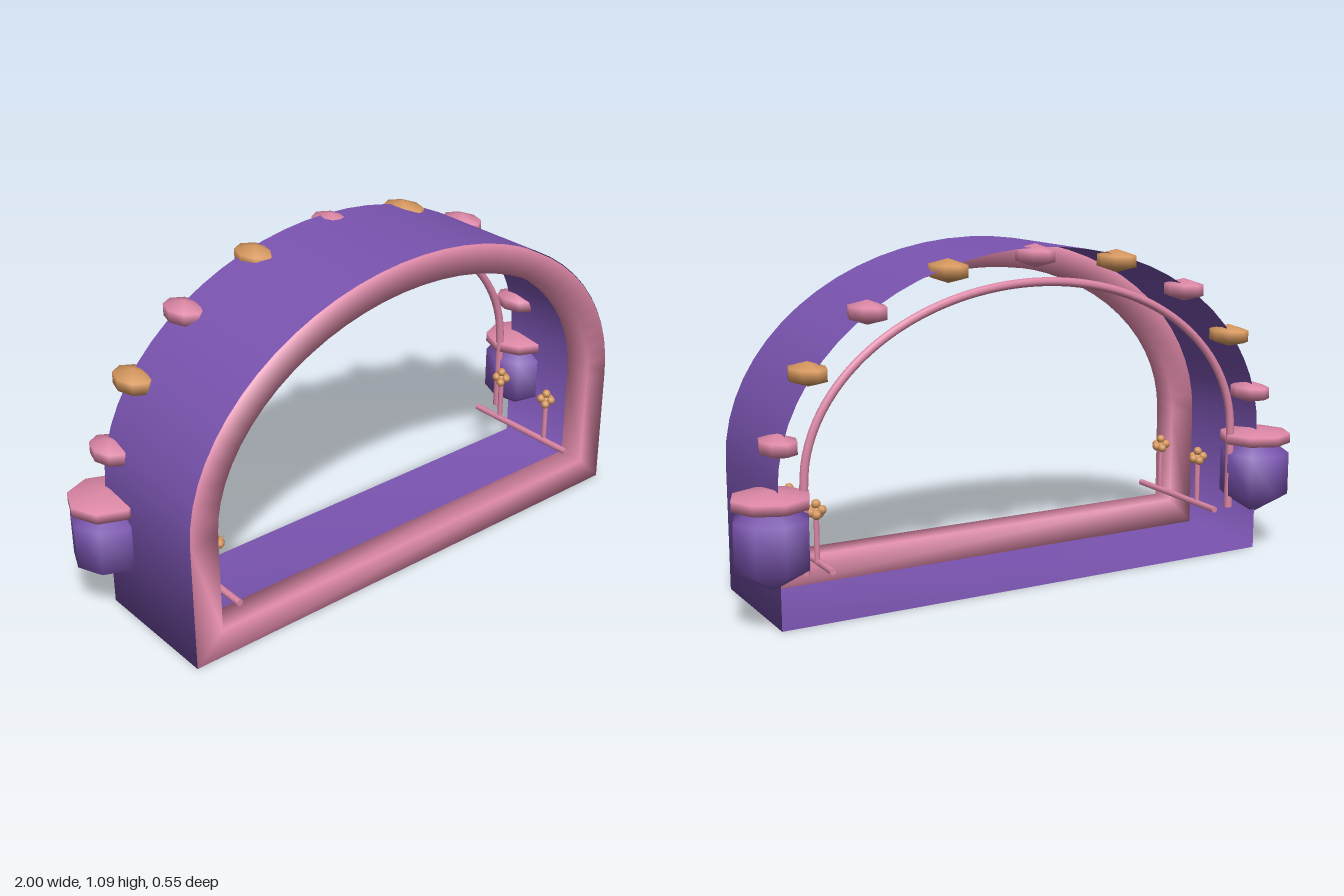
import * as THREE from 'three';

const mat = (name, color) => {
  const m = new THREE.MeshStandardMaterial({ color, side: THREE.DoubleSide });
  m.name = name;
  return m;
};

const SPRING = 0.42; // height where the straight walls turn into the arch

// Points of the half-ellipse arch with straight legs, from +x over the top to -x
function archPoints(halfWidth, top, bottom, steps = 32) {
  const pts = [[halfWidth, bottom]];
  for (let i = 0; i <= steps; i++) {
    const a = (Math.PI * i) / steps;
    pts.push([halfWidth * Math.cos(a), SPRING + (top - SPRING) * Math.sin(a)]);
  }
  pts.push([-halfWidth, bottom]);
  return pts;
}

// Smooth skin through equal closed loops, each given as { pts, z }
function loft(loops, closed) {
  const n = loops[0].pts.length, pos = [], idx = [];
  loops.forEach(({ pts, z }) => pts.forEach(([x, y]) => pos.push(x, y, z)));
  const bands = closed ? loops.length : loops.length - 1;
  for (let k = 0; k < bands; k++) {
    const A = k * n, B = ((k + 1) % loops.length) * n;
    for (let i = 0; i < n; i++) {
      const j = (i + 1) % n;
      idx.push(A + i, A + j, B + j, A + i, B + j, B + i);
    }
  }
  const g = new THREE.BufferGeometry();
  g.setAttribute('position', new THREE.Float32BufferAttribute(pos, 3));
  g.setIndex(idx);
  g.computeVertexNormals();
  return g;
}

export function createModel() {
  const root = new THREE.Group();
  const purple = mat('purple', 0x7a54b0);
  const pink = mat('pink', 0xdc87a6);
  const orange = mat('orange', 0xd6985f);

  const add = (parent, name, geo, material, x = 0, y = 0, z = 0) => {
    const m = new THREE.Mesh(geo, material);
    m.name = name;
    m.position.set(x, y, z);
    parent.add(m);
    return m;
  };

  // Thin tunnel shell, open at front and back
  const outer = archPoints(0.866, 1.08, 0);
  add(root, 'tunnelShell', loft([{ pts: outer, z: -0.18 }, { pts: outer, z: 0.273 }], false), purple);

  // Thick front rim just inside the shell
  const rimOuter = archPoints(0.863, 1.077, 0.003);
  const rimInner = archPoints(0.772, 0.985, 0.098);
  add(root, 'frontRim', loft([
    { pts: rimOuter, z: 0.185 }, { pts: rimOuter, z: 0.276 },
    { pts: rimInner, z: 0.276 }, { pts: rimInner, z: 0.185 },
  ], true), pink);

  // Slender arch at the rear
  const path = new THREE.CatmullRomCurve3(
    archPoints(0.775, 0.97, 0.15, 24).map(([x, y]) => new THREE.Vector3(x, y, -0.15)));
  add(root, 'rearArch', new THREE.TubeGeometry(path, 80, 0.014, 8), pink);

  // Faceted gems along the rear edge, alternating colours
  const gem = new THREE.SphereGeometry(1, 8, 3);
  const gems = [[0, 1.053, pink], [0.3, 1.022, orange], [0.565, 0.915, pink],
    [0.755, 0.75, orange], [0.852, 0.548, pink]];
  for (const [x, y, m] of gems) {
    for (const s of x ? [1, -1] : [1]) {
      add(root, 'archGem', gem, m, s * x, y, -0.153).scale.set(0.064, 0.037, 0.09);
    }
  }

  const stem = new THREE.CylinderGeometry(0.009, 0.009, 0.15, 8);
  const rail = new THREE.CylinderGeometry(0.011, 0.011, 0.44, 8).rotateX(Math.PI / 2);
  const petal = new THREE.SphereGeometry(0.015, 8, 6);
  for (const s of [1, -1]) {
    // Side lantern with a flat cap
    const lantern = new THREE.Group();
    lantern.name = 'sideLantern';
    lantern.position.set(s * 0.88, 0, -0.155);
    root.add(lantern);
    add(lantern, 'lanternBody', gem, purple, 0, 0.265, 0).scale.set(0.134, 0.145, 0.136);
    add(lantern, 'lanternCap', gem, pink, 0, 0.389, 0).scale.set(0.138, 0.032, 0.138);

    // Rail with two flower posts
    add(root, 'sideRail', rail, pink, s * 0.7, 0.155, 0.045);
    for (const z of [-0.065, 0.155]) {
      const post = new THREE.Group();
      post.name = 'flowerPost';
      post.position.set(s * 0.705, 0, z);
      root.add(post);
      add(post, 'stem', stem, pink, 0, 0.228, 0);
      add(post, 'flowerCentre', petal, orange, 0, 0.315, 0);
      add(post, 'flowerTop', petal, orange, 0, 0.337, 0);
      for (let i = 0; i < 5; i++) {
        const a = (i / 5) * Math.PI * 2;
        add(post, 'petal', petal, orange, 0.018 * Math.cos(a), 0.312 + 0.008 * Math.sin(2 * a), 0.018 * Math.sin(a));
      }
    }
  }
  return root;
}
